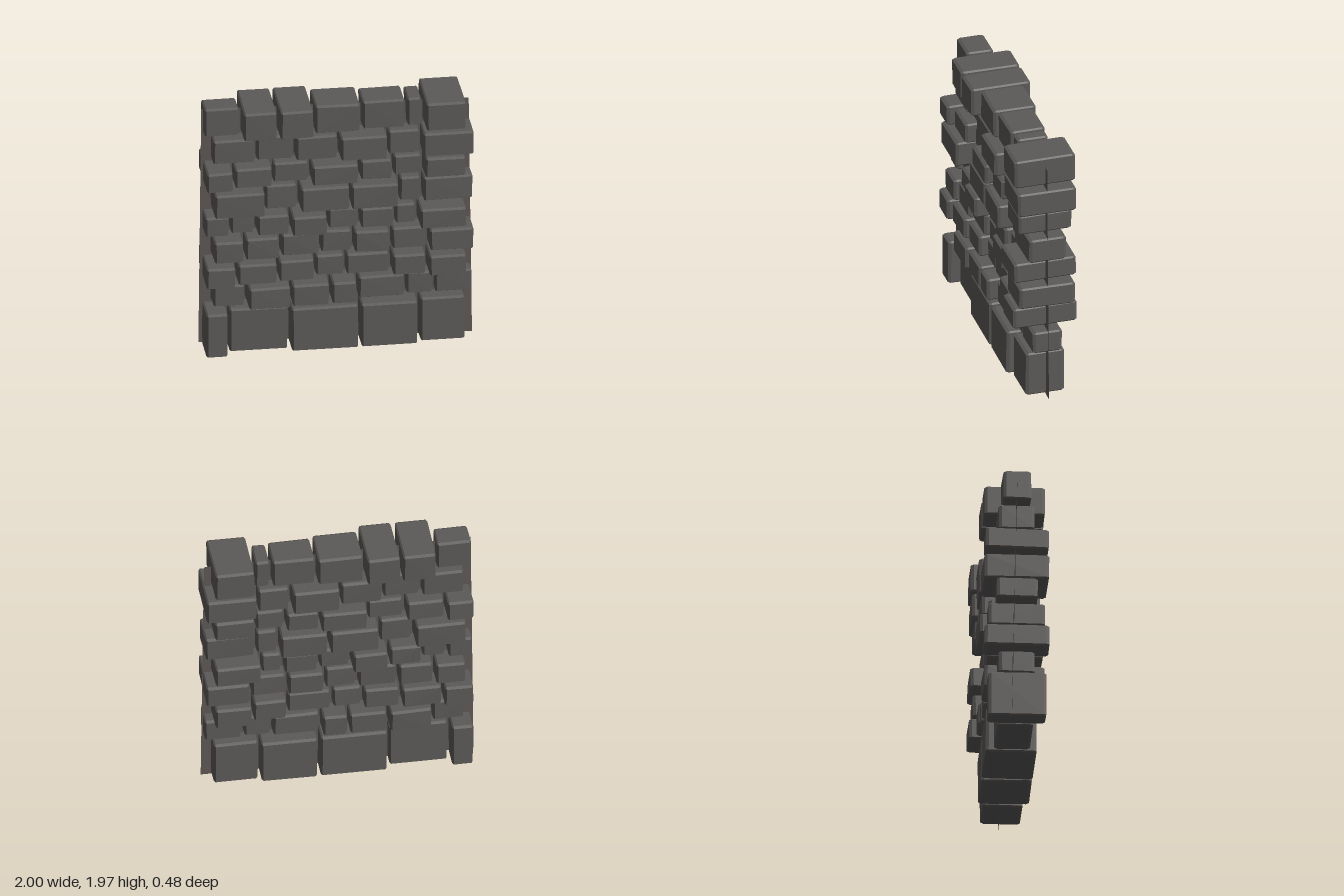
import * as THREE from 'three';
import { ConvexGeometry } from 'three/addons/geometries/ConvexGeometry.js';

const GAP = 0.027;

// Small seeded generator for the uneven cutting of the stones
function seeded(seed) {
  return () => {
    seed = (seed * 16807) % 2147483647;
    return seed / 2147483647 - 0.5;
  };
}

// Chamfered block: three points at each slightly shifted corner
function stoneGeometry(w, h, d, rand) {
  const bevel = 0.011, bevelZ = 0.022, points = [];
  for (const sx of [-1, 1]) for (const sy of [-1, 1]) for (const sz of [-1, 1]) {
    const x = w / 2 + rand() * 0.004, y = h / 2 + rand() * 0.004, z = d / 2 + rand() * 0.004;
    points.push(
      new THREE.Vector3(sx * x, sy * (y - bevel), sz * (z - bevelZ)),
      new THREE.Vector3(sx * (x - bevel), sy * y, sz * (z - bevelZ)),
      new THREE.Vector3(sx * (x - bevel), sy * (y - bevel), sz * z),
    );
  }
  return new ConvexGeometry(points);
}

export function createModel() {
  const wall = new THREE.Group();
  wall.name = 'stoneWall';
  const stone = new THREE.MeshStandardMaterial({ name: 'dark grey stone', color: 0x5c5a58 });
  const mortar = new THREE.MeshStandardMaterial({ name: 'brown grey mortar', color: 0x5e5755, side: THREE.DoubleSide });
  const rand = seeded(4711);

  // Stone courses, stacked upwards; every second one is shifted sideways
  let bottom = 0.013, row = 0;
  function addCourse(height, joints, depths) {
    const shift = row % 2 ? 0.06 : 0;
    const edges = [-0.972 - GAP / 2 + shift, ...joints, 0.923 + GAP / 2 + shift];
    const course = new THREE.Group();
    course.name = `course${++row}`;
    depths.forEach((depth, i) => {
      const mesh = new THREE.Mesh(stoneGeometry(edges[i + 1] - edges[i] - GAP, height, depth, rand), stone);
      mesh.name = 'stone';
      mesh.position.set((edges[i] + edges[i + 1]) / 2, bottom + height / 2, 0);
      mesh.rotation.set(rand() * 0.02, rand() * 0.03, rand() * 0.01);
      course.add(mesh);
    });
    wall.add(course);
    bottom += height + GAP;
  }
  addCourse(0.343, [-0.805, -0.355, 0.155, 0.59], [0.42, 0.26, 0.37, 0.37, 0.29]);
  addCourse(0.168, [-0.675, -0.35, -0.06, 0.14, 0.495, 0.705], [0.26, 0.44, 0.4, 0.4, 0.26, 0.2, 0.22]);
  addCourse(0.16, [-0.75, -0.445, -0.17, 0.055, 0.385, 0.645], [0.47, 0.4, 0.34, 0.22, 0.24, 0.38, 0.48]);
  addCourse(0.167, [-0.69, -0.425, -0.13, 0.11, 0.385, 0.655], [0.41, 0.34, 0.28, 0.22, 0.32, 0.26, 0.42]);
  addCourse(0.153, [-0.79, -0.605, -0.355, -0.08, 0.155, 0.415, 0.58], [0.3, 0.22, 0.36, 0.46, 0.24, 0.3, 0.22, 0.47]);
  addCourse(0.187, [-0.54, -0.29, 0.085, 0.445, 0.615], [0.47, 0.22, 0.42, 0.42, 0.22, 0.28]);
  addCourse(0.153, [-0.77, -0.48, -0.205, 0.15, 0.4, 0.62], [0.46, 0.36, 0.22, 0.44, 0.34, 0.22, 0.4]);
  addCourse(0.185, [-0.6, -0.32, 0, 0.36, 0.605], [0.26, 0.2, 0.3, 0.42, 0.26, 0.44]);
  addCourse(0.22, [-0.71, -0.445, -0.18, 0.17, 0.5, 0.625], [0.2, 0.44, 0.45, 0.32, 0.26, 0.23, 0.46]);

  // Thin, slightly twisted sheet behind the joints
  const sheet = new THREE.PlaneGeometry(2, 2);
  const corners = [[-0.985, 1.93, 0], [0.975, 1.89, 0], [-1, 0.03, -0.04], [1, 0, -0.005]];
  corners.forEach((c, i) => sheet.attributes.position.setXYZ(i, ...c));
  sheet.computeVertexNormals();
  const core = new THREE.Mesh(sheet, mortar);
  core.name = 'mortarSheet';
  wall.add(core);

  return wall;
}
